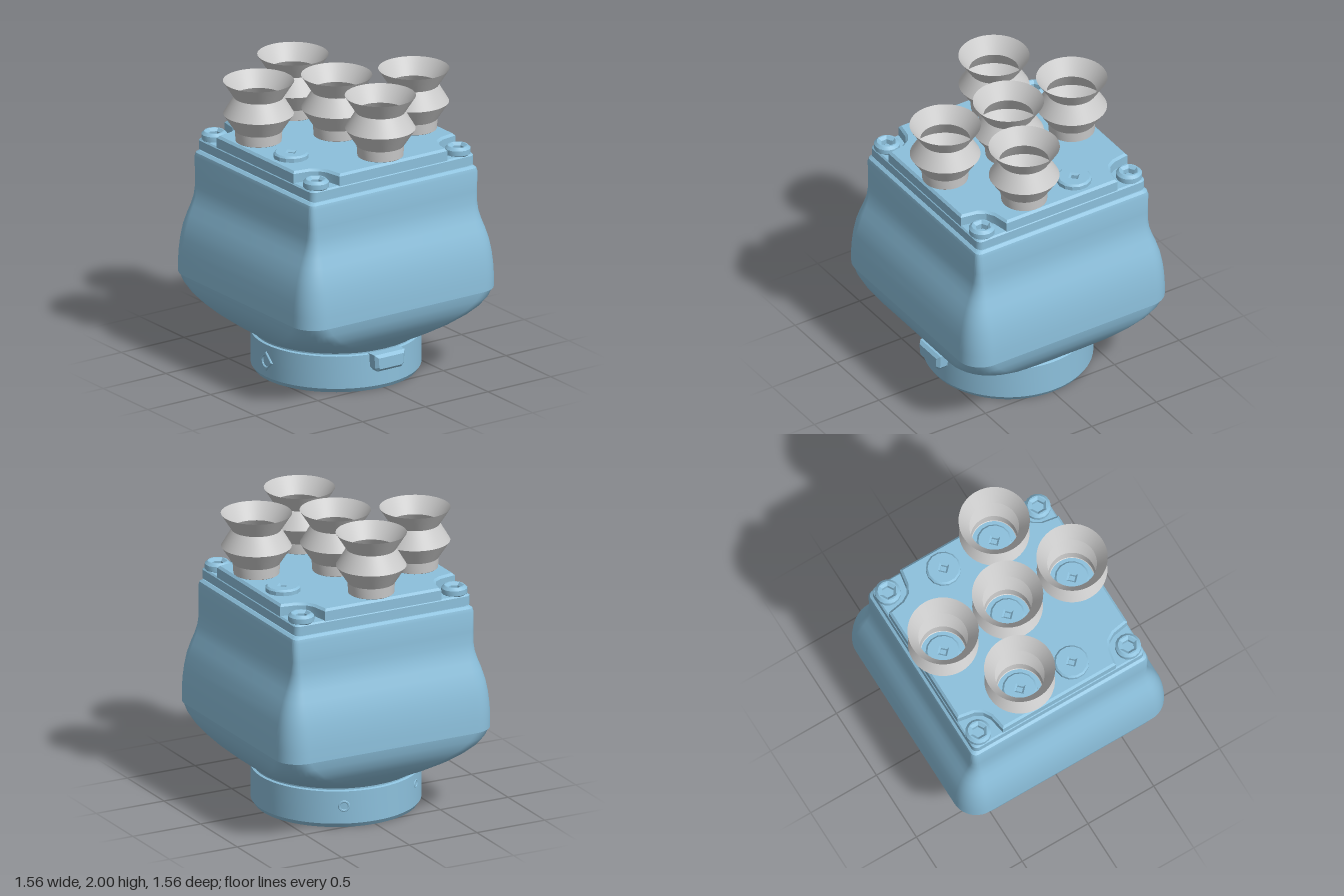
import * as THREE from 'three';
import { toCreasedNormals } from 'three/addons/utils/BufferGeometryUtils.js';

const blue = new THREE.MeshStandardMaterial({ color: 0x8cc0dc });
const grey = new THREE.MeshStandardMaterial({ color: 0xcccccc, side: THREE.DoubleSide });

function mesh(name, geometry, material = blue, crease = 0.5) {
  const m = new THREE.Mesh(toCreasedNormals(geometry, crease), material);
  m.name = name;
  return m;
}

// Closed loft through rounded squares, each given as [y, half width, corner radius]
function loftRoundedSquares(sections, steps = 10) {
  const pos = [], index = [], n = 4 * (steps + 1);
  for (const [y, half, r] of sections) {
    for (let q = 0; q < 4; q++) {
      const mid = (q + 0.5) * Math.PI / 2;
      const cx = Math.sign(Math.cos(mid)) * (half - r);
      const cz = Math.sign(Math.sin(mid)) * (half - r);
      for (let s = 0; s <= steps; s++) {
        const a = (q + s / steps) * Math.PI / 2;
        pos.push(cx + r * Math.cos(a), y, cz + r * Math.sin(a));
      }
    }
  }
  const last = sections.length - 1;
  const bottom = pos.length / 3, top = bottom + 1;
  pos.push(0, sections[0][0], 0, 0, sections[last][0], 0);
  for (let j = 0; j < n; j++) {
    const k = (j + 1) % n;
    for (let i = 0; i < last; i++) {
      const a = i * n + j, b = i * n + k;
      index.push(a, a + n, b, b, a + n, b + n);
    }
    index.push(bottom, j, k, top, last * n + k, last * n + j);
  }
  const g = new THREE.BufferGeometry();
  g.setAttribute('position', new THREE.Float32BufferAttribute(pos, 3));
  g.setIndex(index);
  return g;
}

function polygon(Type, r, sides, x = 0, y = 0, turn = 0) {
  const pts = [];
  for (let i = 0; i < sides; i++) {
    const a = turn + i / sides * Math.PI * 2;
    pts.push(new THREE.Vector2(x + r * Math.cos(a), y + r * Math.sin(a)));
  }
  return new Type(pts);
}

// Flat plate extruded along +z, with edges eased inside the outline
function plate(shape, height, bevel = 0) {
  return new THREE.ExtrudeGeometry(shape, {
    depth: height - 2 * bevel, bevelEnabled: bevel > 0, bevelSize: bevel,
    bevelThickness: bevel, bevelOffset: -bevel, bevelSegments: 1,
  }).translate(0, 0, bevel);
}

// Disc with a polygonal socket, facing +z
function socketDisc(r, sides, socket, socketSides, height, bevel) {
  const shape = polygon(THREE.Shape, r, sides);
  shape.holes.push(polygon(THREE.Path, socket, socketSides));
  return plate(shape, height, bevel);
}

export function createModel() {
  const model = new THREE.Group();

  // Lower shell: round at the base, growing into a rounded square
  model.add(mesh('lowerShell', loftRoundedSquares([
    [0.27, 0.545, 0.535], [0.29, 0.565, 0.52], [0.33, 0.62, 0.45], [0.38, 0.675, 0.37],
    [0.43, 0.715, 0.3], [0.48, 0.745, 0.245], [0.54, 0.768, 0.2], [0.597, 0.778, 0.17],
  ])));

  // Upper shell: bulges at the seam and narrows to the lid
  model.add(mesh('upperShell', loftRoundedSquares([
    [0.597, 0.782, 0.165], [0.68, 0.781, 0.16], [0.76, 0.776, 0.155], [0.84, 0.766, 0.145],
    [0.92, 0.75, 0.13], [1.0, 0.725, 0.11], [1.06, 0.702, 0.09], [1.12, 0.683, 0.07],
    [1.18, 0.673, 0.055], [1.26, 0.67, 0.045], [1.39, 0.67, 0.04], [1.415, 0.664, 0.04],
    [1.43, 0.645, 0.035],
  ])));

  // Lid: base slab, then a raised plate notched at the corners
  model.add(mesh('lidBase', loftRoundedSquares([
    [1.425, 0.635, 0.035], [1.436, 0.635, 0.035], [1.44, 0.65, 0.04],
    [1.5, 0.65, 0.04], [1.51, 0.64, 0.035],
  ], 5)));
  const outline = [];
  for (let q = 0; q < 4; q++) {
    for (const [x, y] of [[0.645, 0.43], [0.53, 0.45], [0.48, 0.48], [0.45, 0.53], [0.43, 0.645]]) {
      outline.push(new THREE.Vector2(x, y).rotateAround(new THREE.Vector2(), q * Math.PI / 2));
    }
  }
  const lid = mesh('lidPlate', plate(new THREE.Shape(outline), 0.1, 0.015), blue, 0.4);
  lid.rotation.x = -Math.PI / 2;
  lid.position.y = 1.487;
  model.add(lid);

  // Lid screws, one in each notch
  for (const sx of [-1, 1]) {
    for (const sz of [-1, 1]) {
      const screw = mesh('lidScrew', socketDisc(0.085, 16, 0.042, 6, 0.07, 0.018), blue, 0.4);
      screw.rotation.x = -Math.PI / 2;
      screw.position.set(sx * 0.57, 1.495, sz * 0.565);
      model.add(screw);
    }
  }

  // Seven suction ports, five of which carry bellows cups
  const cupProfile = [
    [0.13, 1.575], [0.15, 1.59], [0.155, 1.66], [0.23, 1.775], [0.162, 1.89], [0.232, 2.0],
  ].map(([r, y]) => new THREE.Vector2(r, y));
  const ports = [
    [0.19, -0.485, true], [-0.49, -0.005, true], [0, -0.005, true], [0.49, -0.005, true],
    [-0.2, 0.475, true], [-0.19, -0.495, false], [0.185, 0.49, false],
  ];
  for (const [x, z, hasCup] of ports) {
    const fitting = mesh('portFitting', socketDisc(0.115, 14, 0.028, 4, 0.055, 0.012), blue, 0.4);
    fitting.rotation.x = -Math.PI / 2;
    fitting.position.set(x, 1.57, z);
    model.add(fitting);
    if (hasCup) {
      const cup = mesh('suctionCup', new THREE.LatheGeometry(cupProfile, 48), grey);
      cup.position.set(x, 0, z);
      model.add(cup);
    }
  }

  // Mounting flange with a recessed underside and four bolt holes
  const flange = [
    [0.505, 0.03], [0.505, 0], [0.535, 0], [0.555, 0.03], [0.555, 0.252], [0.54, 0.258], [0.54, 0.275],
  ].map(([r, y]) => new THREE.Vector2(r, y));
  model.add(mesh('flangeRing', new THREE.LatheGeometry(flange, 72)));
  const floor = polygon(THREE.Shape, 0.506, 64);
  for (let i = 0; i < 4; i++) {
    const a = (i + 0.5) * Math.PI / 2;
    floor.holes.push(polygon(THREE.Path, 0.04, 16, 0.4 * Math.cos(a), 0.4 * Math.sin(a)));
  }
  const floorMesh = mesh('flangeFloor', plate(floor, 0.25));
  floorMesh.rotation.x = -Math.PI / 2;
  floorMesh.position.y = 0.022;
  model.add(floorMesh);

  // Small fittings around the flange: [name, angle from front, height, geometry]
  const fittings = [
    ['airPort', 0, 0.14, socketDisc(0.068, 4, 0.036, 12, 0.035, 0.006)],
    ['sidePin', -0.86, 0.18, socketDisc(0.03, 14, 0.018, 10, 0.03, 0.004)],
    ['rearPin', -Math.PI / 2 - 0.4, 0.15, socketDisc(0.04, 14, 0.024, 10, 0.03, 0.004)],
  ];
  for (const [name, angle, y, geometry] of fittings) {
    const part = mesh(name, geometry);
    part.position.set(0.528 * Math.sin(angle), y, 0.528 * Math.cos(angle));
    part.rotation.y = angle;
    model.add(part);
  }

  // Connector lug on the left side of the flange
  const lugShape = new THREE.Shape([
    [-0.095, 0.145], [0.095, 0.145], [0.115, 0.17], [0.12, 0.26], [-0.12, 0.26], [-0.115, 0.17],
  ].map(([x, y]) => new THREE.Vector2(x, y)));
  const lug = mesh('connectorLug', plate(lugShape, 0.105, 0.02), blue, 0.4);
  lug.rotation.y = Math.PI / 2;
  lug.position.x = 0.515;
  model.add(lug);

  return model;
}
